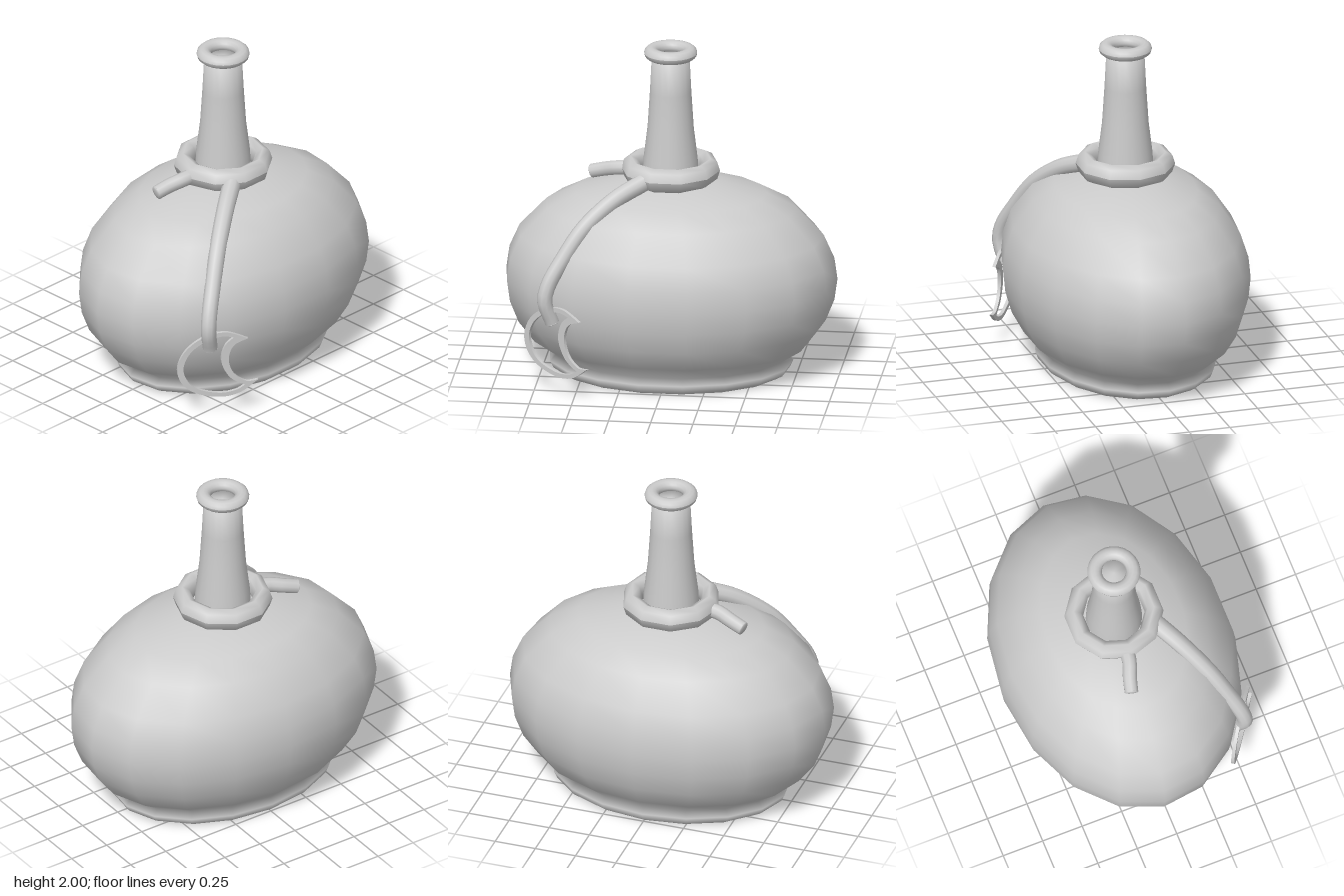
import * as THREE from 'three';

const material = new THREE.MeshStandardMaterial({ color: 0xcccccc, side: THREE.DoubleSide });

function add(parent, name, geometry) {
  const mesh = new THREE.Mesh(geometry, material);
  mesh.name = name;
  parent.add(mesh);
  return mesh;
}

const v2 = (list) => list.map(([x, y]) => new THREE.Vector2(x, y));

// Closed elliptical ring swept round the y axis
function ring(radius, y, halfWidth, halfHeight, tubeSides, sides, phase) {
  const profile = [];
  for (let i = 0; i <= tubeSides; i++) {
    const a = (i / tubeSides) * Math.PI * 2;
    profile.push(new THREE.Vector2(radius + halfWidth * Math.cos(a), y + halfHeight * Math.sin(a)));
  }
  return new THREE.LatheGeometry(profile, sides, phase);
}

// Tapered round cord with softly domed ends
function cord(parent, name, points, r0, r1, segments) {
  const group = new THREE.Group();
  group.name = name;
  parent.add(group);
  const curve = new THREE.CatmullRomCurve3(points.map((p) => new THREE.Vector3(...p)));
  const sides = 10;
  const geometry = new THREE.TubeGeometry(curve, segments, 1, sides, false);
  const pos = geometry.attributes.position;
  const v = new THREE.Vector3();
  for (let i = 0; i < pos.count; i++) {
    const t = Math.floor(i / (sides + 1)) / segments;
    const c = curve.getPointAt(t);
    v.fromBufferAttribute(pos, i).sub(c).multiplyScalar(r0 + (r1 - r0) * t).add(c);
    pos.setXYZ(i, v.x, v.y, v.z);
  }
  add(group, name + 'Tube', geometry);
  [[0, r0], [1, r1]].forEach(([t, r]) => {
    const end = add(group, name + 'End', new THREE.SphereGeometry(r, 10, 8));
    end.position.copy(curve.getPointAt(t));
    end.quaternion.setFromUnitVectors(new THREE.Vector3(0, 0, 1), curve.getTangentAt(t));
    end.scale.z = 0.25;
  });
}

export function createModel() {
  const model = new THREE.Group();
  model.name = 'flask';

  // Oval body with a flared foot and a shallow recessed underside
  const body = new THREE.LatheGeometry(v2([
    [0, 0.04], [0.6, 0.035], [0.645, 0.005], [0.67, 0], [0.705, 0.02], [0.725, 0.06],
    [0.69, 0.1], [0.82, 0.185], [0.915, 0.31], [0.967, 0.44], [0.985, 0.57], [0.967, 0.7],
    [0.905, 0.84], [0.745, 1.01], [0.57, 1.1], [0.28, 1.175], [0, 1.19],
  ]), 17, Math.PI);
  body.scale(1, 1, 0.72);
  add(model, 'body', body);

  // Neck, closed just below the mouth
  add(model, 'neck', new THREE.LatheGeometry(v2([
    [0.168, 1.16], [0.16, 1.31], [0.137, 1.5], [0.123, 1.72], [0.112, 1.94], [0, 1.945],
  ]), 20));
  add(model, 'lip', ring(0.114, 1.962, 0.043, 0.038, 12, 24, 0));

  // Ten-sided collar lying on the shoulders
  add(model, 'collar', ring(0.237, 1.238, 0.056, 0.073, 8, 10, Math.PI / 2));

  // Long cord draped down the front
  const drape = [[-0.13, 1.22], [-0.29, 1.14], [-0.465, 0.99], [-0.58, 0.82],
    [-0.66, 0.675], [-0.68, 0.575], [-0.64, 0.44]];
  cord(model, 'longCord', drape.map(([x, y]) => [x, y, 0.21 - (x + 0.14) * 0.65]), 0.054, 0.044, 24);

  // Short loose end of the cord
  cord(model, 'shortCord', [[-0.2, 1.235, -0.01], [-0.31, 1.225, -0.025],
    [-0.39, 1.205, -0.055], [-0.475, 1.18, -0.078]], 0.046, 0.042, 8);

  // Hollow crescent pendant; x is widened because the plate is turned
  const c = Math.cos(0.594);
  const local = (list) => v2(list.map(([x, y]) => [(x + 0.61) / c, y]));
  const outline = new THREE.Shape();
  outline.moveTo(...local([[-0.46, 0.49]])[0].toArray());
  outline.splineThru(local([[-0.57, 0.542], [-0.68, 0.52], [-0.77, 0.44], [-0.81, 0.33],
    [-0.79, 0.23], [-0.72, 0.155], [-0.6, 0.117], [-0.5, 0.135], [-0.41, 0.21]]));
  outline.splineThru(local([[-0.47, 0.208], [-0.53, 0.265], [-0.555, 0.36], [-0.53, 0.45], [-0.46, 0.49]]));
  const hole = new THREE.Path();
  hole.moveTo(...local([[-0.53, 0.505]])[0].toArray());
  hole.splineThru(local([[-0.59, 0.517], [-0.67, 0.492], [-0.745, 0.425], [-0.78, 0.33],
    [-0.76, 0.24], [-0.705, 0.178], [-0.6, 0.143], [-0.52, 0.153], [-0.475, 0.182]]));
  hole.splineThru(local([[-0.55, 0.242], [-0.592, 0.35], [-0.575, 0.45], [-0.53, 0.505]]));
  outline.holes.push(hole);
  const pendant = new THREE.ExtrudeGeometry(outline, {
    depth: 0.02, curveSegments: 24, bevelEnabled: false,
  });
  pendant.translate(0, 0, -0.01);
  const crescent = add(model, 'crescentPendant', pendant);
  crescent.position.set(-0.61, 0, 0.565);
  crescent.rotation.y = -0.594;

  return model;
}
